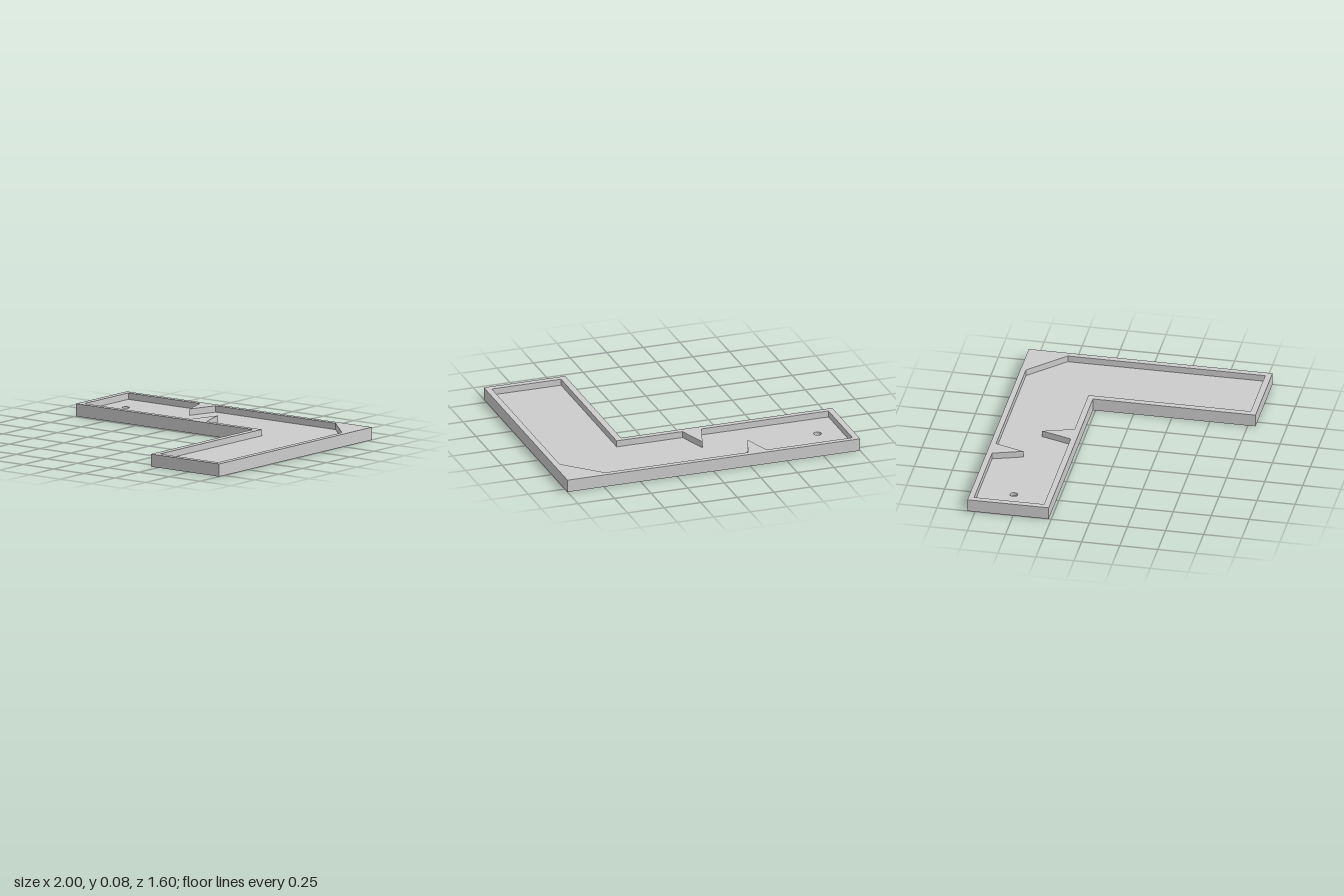
import * as THREE from 'three';

const TOP = 0.083, FLOOR = 0.041, CUP = 0.02;

export function createModel() {
  const group = new THREE.Group();
  const material = new THREE.MeshStandardMaterial({ color: 0xcccccc, flatShading: true });

  const add = (name, geometry) => {
    const mesh = new THREE.Mesh(geometry, material);
    mesh.name = name;
    group.add(mesh);
  };

  // Plan points are [x, z]; shapes are drawn in (x, -z) and laid flat.
  const plan = (points) => points.map(([x, z]) => new THREE.Vector2(x, -z));

  // Horizontal face at height y, with optional holes.
  const sheet = (name, points, y, holes = [], down = false) => {
    const shape = new THREE.Shape(points);
    shape.holes = holes.map((h) => new THREE.Path(h));
    const geometry = new THREE.ShapeGeometry(shape);
    if (down) geometry.setIndex([...geometry.index.array].reverse());
    geometry.rotateX(-Math.PI / 2).translate(0, y, 0);
    geometry.computeVertexNormals();
    add(name, geometry);
  };

  // Vertical band around a closed loop, facing outward or inward.
  const band = (name, points, y0, y1, inward = false) => {
    const loop = points.slice();
    if (THREE.ShapeUtils.isClockWise(loop) !== inward) loop.reverse();
    const pos = [];
    loop.forEach((a, i) => {
      const b = loop[(i + 1) % loop.length];
      const a0 = [a.x, y0, -a.y], a1 = [a.x, y1, -a.y];
      const b0 = [b.x, y0, -b.y], b1 = [b.x, y1, -b.y];
      pos.push(...a0, ...b0, ...b1, ...a0, ...b1, ...a1);
    });
    const geometry = new THREE.BufferGeometry();
    geometry.setAttribute('position', new THREE.Float32BufferAttribute(pos, 3));
    geometry.computeVertexNormals();
    add(name, geometry);
  };

  // L-shaped outside edge
  const outer = plan([
    [-1, -0.8], [1, -0.8], [1, 0.8], [0.444, 0.8], [0.444, -0.267], [-1, -0.267],
  ]);

  // Inside edge with two pointed obstacles and a cut corner
  const inner = plan([
    [-0.96, -0.764], [-0.375, -0.764], [-0.311, -0.57], [-0.247, -0.764],
    [0.73, -0.764], [0.96, -0.536], [0.96, 0.76], [0.487, 0.76],
    [0.487, -0.305], [0.037, -0.305], [-0.028, -0.505], [-0.093, -0.305],
    [-0.96, -0.305],
  ]);

  // Round cup sunk into the floor
  const cup = plan(Array.from({ length: 32 }, (_, i) => {
    const t = (i / 32) * Math.PI * 2;
    return [-0.803 + 0.025 * Math.cos(t), -0.535 + 0.025 * Math.sin(t)];
  }));

  sheet('underside', outer, 0, [], true);
  band('outerWall', outer, 0, TOP);
  sheet('rim', outer, TOP, [inner]);
  band('innerWall', inner, FLOOR, TOP, true);
  sheet('floor', inner, FLOOR, [cup]);
  band('cupWall', cup, CUP, FLOOR, true);
  sheet('cupBottom', cup, CUP);

  return group;
}
